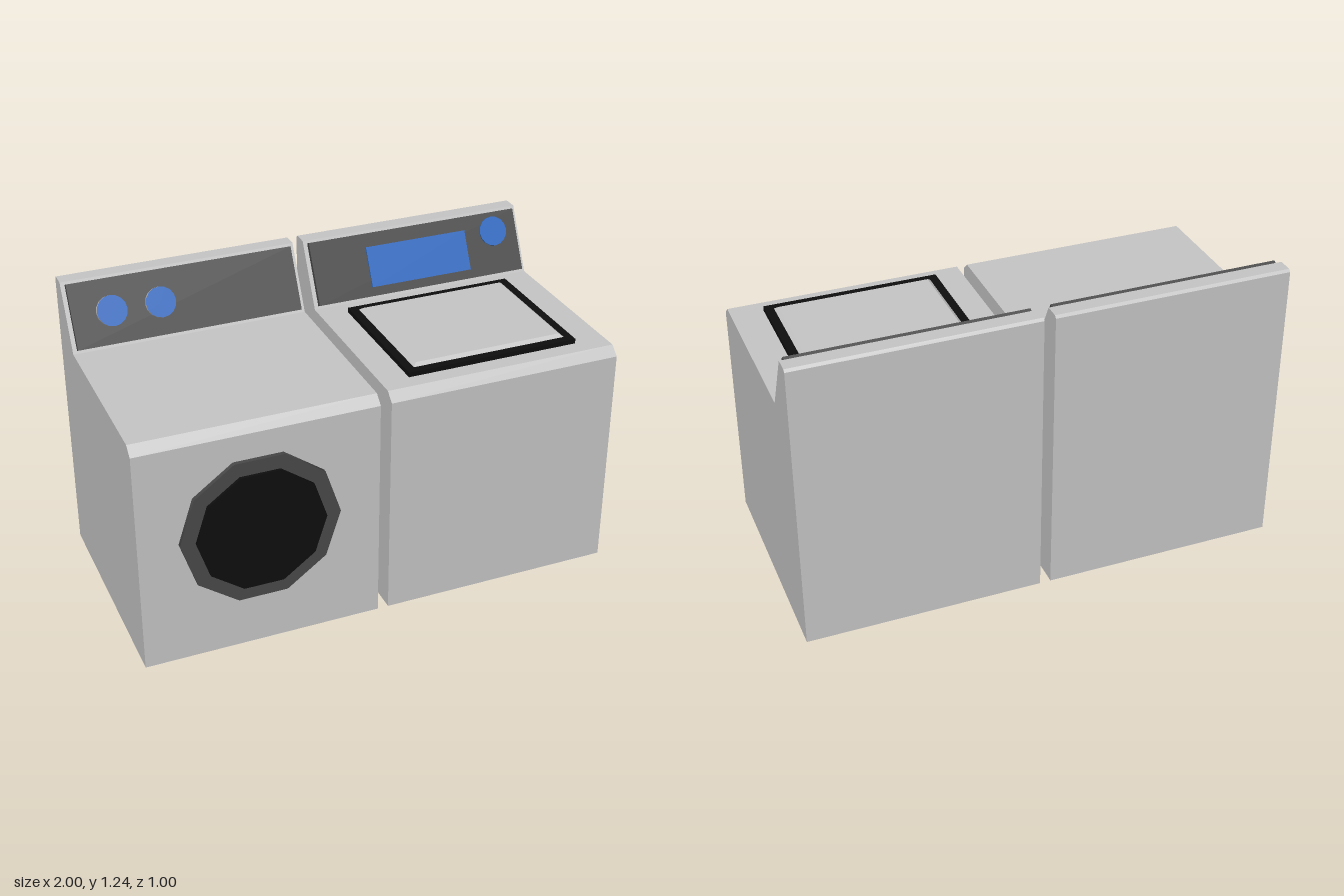
import * as THREE from 'three';

const mat = (name, color) => {
  const m = new THREE.MeshStandardMaterial({ color });
  m.name = name;
  return m;
};

export function createModel() {
  const enamel = mat('grey enamel', 0xc4c4c4);
  const charcoal = mat('charcoal', 0x484848);
  const black = mat('black', 0x0e0e0e);
  const blue = mat('blue', 0x2a68c0);

  const add = (parent, name, geometry, material, x = 0, y = 0, z = 0) => {
    const mesh = new THREE.Mesh(geometry, material);
    mesh.name = name;
    mesh.position.set(x, y, z);
    parent.add(mesh);
    return mesh;
  };

  // disc facing +z, with its back at z = 0 and a corner on the +x axis
  const disc = (r, depth, sides) =>
    new THREE.CylinderGeometry(r, r, depth, sides, 1, false, Math.PI / 2)
      .rotateX(Math.PI / 2).translate(0, 0, depth / 2);

  // cabinet: side profile (z, y) swept across the width, with sloped console
  const width = 0.975;
  const lean = Math.atan2(0.13, 0.255);
  const profile = [[-0.5, 0], [0.475, 0], [0.475, 0.945], [0.437, 0.98], [-0.3, 0.98],
    [-0.43, 1.235], [-0.49, 1.235], [-0.5, 1.225]];
  const cabinetShape = new THREE.Shape(profile.map(([z, y]) => new THREE.Vector2(-z, y)));
  const cabinetGeometry = new THREE.ExtrudeGeometry(cabinetShape, { depth: width, bevelEnabled: false })
    .translate(0, 0, -width / 2).rotateY(Math.PI / 2);

  const makeAppliance = (name, x) => {
    const machine = new THREE.Group();
    machine.name = name;
    machine.position.x = x;
    add(machine, 'cabinet', cabinetGeometry, enamel);
    const console = new THREE.Group();
    console.name = 'controlConsole';
    console.position.set(0, 1.1075, -0.365);
    console.rotation.x = -lean;
    machine.add(console);
    add(console, 'controlPanel', new THREE.BoxGeometry(0.94, 0.262, 0.02), charcoal, 0, 0, 0.01);
    return { machine, console };
  };

  const model = new THREE.Group();
  model.name = 'laundryPair';

  // front loader: two dials and a ten-sided door
  const front = makeAppliance('frontLoader', -0.51);
  for (const x of [-0.31, -0.11]) {
    const dial = add(front.console, 'dial', disc(0.062, 0.015, 16), enamel, x, 0, 0.02);
    dial.material = [enamel, blue, enamel];
  }
  add(front.machine, 'doorRim', disc(0.323, 0.018, 10), charcoal, -0.005, 0.53, 0.475);
  add(front.machine, 'doorWindow', disc(0.262, 0.012, 10), black, -0.005, 0.53, 0.493);

  // top loader: display, one dial and a lid on a dark seal
  const top = makeAppliance('topLoader', 0.51);
  add(top.console, 'display', new THREE.BoxGeometry(0.455, 0.168, 0.006), blue, 0, -0.01, 0.023);
  add(top.console, 'dial', disc(0.062, 0.006, 16), blue, 0.36, 0.05, 0.02);
  add(top.machine, 'lidSeal', new THREE.BoxGeometry(0.725, 0.02, 0.6), black, -0.007, 0.99, 0.071);

  // lid with its upper edges drawn in
  const lid = new THREE.BoxGeometry(0.655, 0.012, 0.535);
  const p = lid.attributes.position;
  for (let i = 0; i < p.count; i++) {
    if (p.getY(i) > 0) {
      p.setX(i, p.getX(i) - Math.sign(p.getX(i)) * 0.015);
      p.setZ(i, p.getZ(i) - Math.sign(p.getZ(i)) * 0.015);
    }
  }
  lid.computeVertexNormals();
  add(top.machine, 'lid', lid, enamel, -0.007, 1.006, 0.071);

  model.add(front.machine, top.machine);
  return model;
}
